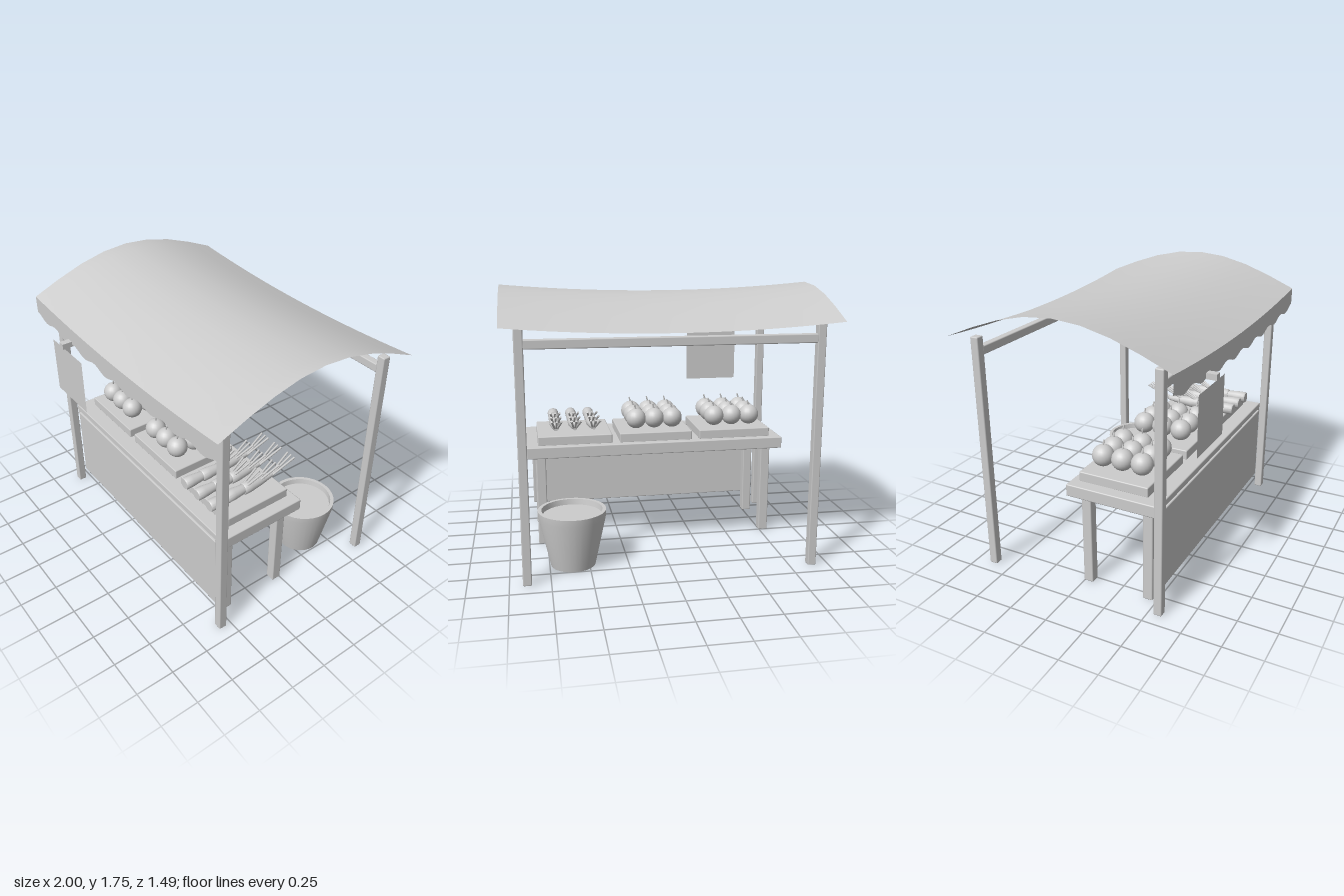
import * as THREE from 'three';
import { toCreasedNormals } from 'three/addons/utils/BufferGeometryUtils.js';
import { RoundedBoxGeometry } from 'three/addons/geometries/RoundedBoxGeometry.js';

const plain = new THREE.MeshStandardMaterial({ color: 0xcccccc, side: THREE.DoubleSide });
plain.name = 'plain grey';

function add(parent, name, geometry, x = 0, y = 0, z = 0) {
  const mesh = new THREE.Mesh(geometry, plain);
  mesh.name = name;
  mesh.position.set(x, y, z);
  parent.add(mesh);
  return mesh;
}

function group(parent, name) {
  const g = new THREE.Group();
  g.name = name;
  parent.add(g);
  return g;
}

// Softly bevelled box given by its min and max on each axis
function box(parent, name, [x0, x1], [y0, y1], [z0, z1]) {
  const geo = new RoundedBoxGeometry(x1 - x0, y1 - y0, z1 - z0, 1, 0.007);
  return add(parent, name, geo, (x0 + x1) / 2, (y0 + y1) / 2, (z0 + z1) / 2);
}

// Thin round rod between two points
function rod(parent, name, a, b, r0, r1) {
  const dir = b.clone().sub(a);
  const mesh = add(parent, name, new THREE.CylinderGeometry(r1, r0, dir.length(), 6));
  mesh.position.copy(a).addScaledVector(dir, 0.5);
  mesh.quaternion.setFromUnitVectors(new THREE.Vector3(0, 1, 0), dir.normalize());
  return mesh;
}

function lathe(points, sides) {
  const pts = points.map(([r, y]) => new THREE.Vector2(r, y));
  return toCreasedNormals(new THREE.LatheGeometry(pts, sides), 0.6);
}

// Grid of points from a rule of (u, v)
function sheet(nu, nv, rule) {
  const geo = new THREE.PlaneGeometry(1, 1, nu, nv);
  const p = geo.attributes.position;
  for (let i = 0; i < p.count; i++) p.setXYZ(i, ...rule(p.getX(i) + 0.5, 0.5 - p.getY(i)));
  geo.computeVertexNormals();
  return geo;
}

const FRONT = 0.68, BACK = -0.745;
const sag = (x) => 0.046 * (1 - x * x);

function buildFrame(root) {
  const frame = group(root, 'frame');
  for (const z of [0.5625, -0.627]) {
    for (const s of [-1, 1]) {
      const x = s * 0.893;
      box(frame, 'post', [x - 0.027, x + 0.027], [0, 1.54], [z - 0.027, z + 0.027]);
    }
    box(frame, 'crossBeam', [-0.87, 0.87], [1.42, 1.475], [z - 0.024, z + 0.024]);
  }
}

function buildCanopy(root) {
  const canopy = group(root, 'canopy');
  // Arched cloth sagging in the middle
  add(canopy, 'canopyCloth', sheet(24, 8, (u, v) => {
    const x = 2 * u - 1;
    return [x, 1.553 + 0.196 * Math.sin(Math.PI * v) - sag(x), BACK + (FRONT - BACK) * v];
  }));
  // Wavy hanging edge
  add(canopy, 'valance', sheet(96, 1, (u, v) => {
    const x = 2 * u - 1;
    const drop = 0.125 - 0.014 * Math.cos(8 * Math.PI * x);
    return [x, 1.553 - sag(x) - v * drop, FRONT];
  }));
}

function buildSign(root) {
  const sign = group(root, 'hangingSign');
  add(sign, 'signBracket', new THREE.BoxGeometry(0.045, 0.036, 0.2), -0.552, 1.408, 0.645);
  add(sign, 'signBoard', new THREE.PlaneGeometry(0.376, 0.376), -0.552, 1.17, 0.71);
}

function buildTable(root) {
  const table = group(root, 'table');
  box(table, 'tableTop', [-0.87, 0.87], [0.617, 0.695], [-0.072, 0.537]);
  for (const s of [-1, 1]) {
    for (const z of [0.443, 0.028]) {
      const x = s * 0.776;
      box(table, 'tableLeg', [x - 0.032, x + 0.032], [0, 0.62], [z - 0.032, z + 0.032]);
    }
  }
  box(table, 'frontPanel', [-0.828, 0.828], [0.125, 0.655], [0.497, 0.55]);
}

function buildFruit(parent, x, y, z) {
  const fruit = group(parent, 'fruit');
  fruit.position.set(x, y, z);
  add(fruit, 'fruitBody', new THREE.SphereGeometry(0.068, 20, 14));
  rod(fruit, 'fruitStem', new THREE.Vector3(0, 0.06, 0), new THREE.Vector3(0.011, 0.097, 0), 0.006, 0.005);
}

function buildRoot(parent, x, y, z) {
  const veg = group(parent, 'rootVegetable');
  veg.position.set(x, y, z);
  const profile = [[0, 0], [0.034, 0], [0.038, 0.006], [0.038, 0.055], [0.03, 0.13], [0.013, 0.24], [0, 0.24]];
  add(veg, 'vegetableBody', lathe(profile, 16).rotateX(-Math.PI / 2));
  for (const s of [-1, 0, 1]) {
    rod(veg, 'leafStalk', new THREE.Vector3(s * 0.008, 0, -0.225),
      new THREE.Vector3(s * 0.032, 0.083, -0.385), 0.007, 0.007);
  }
}

function buildProduce(root) {
  for (const i of [-1, 0, 1]) {
    const stand = group(root, 'produceDisplay');
    const cx = i * 0.546;
    box(stand, 'tray', [cx - 0.247, cx + 0.247], [0.69, 0.755], [-0.024, 0.436]);
    for (let a = -1; a <= 1; a++) {
      for (let b = -1; b <= 1; b++) {
        const x = cx + a * 0.125;
        if (i < 1) buildFruit(stand, x, 0.834, 0.206 + b * 0.131);
        else buildRoot(stand, x, 0.8, 0.362 + b * 0.129);
      }
    }
  }
}

function buildBucket(root) {
  const bucket = group(root, 'bucket');
  bucket.position.set(0.6, 0, -0.36);
  // Tapered shell with a straight rim, hollow near the top
  const profile = [[0, 0], [0.142, 0], [0.212, 0.32], [0.215, 0.366], [0.192, 0.366], [0.185, 0.32]];
  add(bucket, 'bucketShell', lathe(profile, 32));
  add(bucket, 'bucketContents', new THREE.CircleGeometry(0.188, 32).rotateX(-Math.PI / 2), 0, 0.33, 0);
}

export function createModel() {
  const root = new THREE.Group();
  root.name = 'marketStall';
  buildFrame(root);
  buildCanopy(root);
  buildSign(root);
  buildTable(root);
  buildProduce(root);
  buildBucket(root);
  return root;
}
